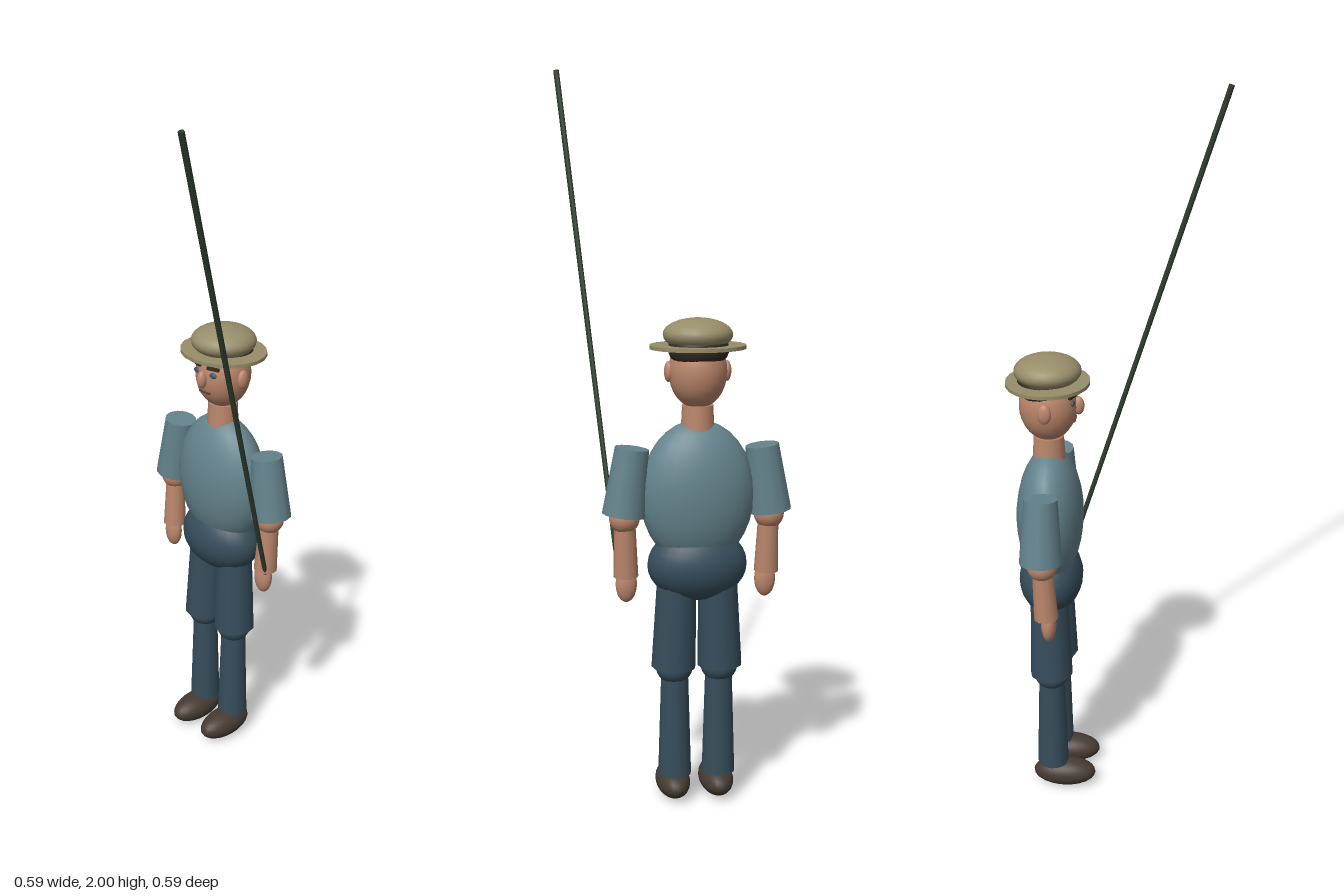
import * as THREE from 'three';

const paint = (name, color) => {
  const m = new THREE.MeshStandardMaterial({ color });
  m.name = name;
  return m;
};

export function createModel() {
  const shirt = paint('shirt teal', 0x64838c);
  const trouser = paint('trouser blue', 0x364d5b);
  const skin = paint('skin', 0xbb866b);
  const straw = paint('straw', 0x978d6a);
  const hairBrown = paint('hair brown', 0x352a22);
  const leather = paint('shoe leather', 0x463b32);
  const wood = paint('rod green', 0x2c3a2c);
  const eyeBlue = paint('eye blue', 0x3f5866);
  const lip = paint('lip', 0x6b3f34);

  const model = new THREE.Group();
  model.name = 'fisherman';
  const body = new THREE.Group();
  body.name = 'figure';
  body.position.set(-0.04, 0, -0.18);
  model.add(body);

  // Ellipsoid from centre and radii
  const ball = (parent, name, mat, pos, radii) => {
    const mesh = new THREE.Mesh(new THREE.SphereGeometry(1, 24, 16), mat);
    mesh.name = name;
    mesh.position.set(...pos);
    mesh.scale.set(...radii);
    parent.add(mesh);
    return mesh;
  };

  // Tapered cylinder running from the top point to the bottom point
  const limb = (parent, name, mat, top, bottom, rTop, rBottom, sides = 12) => {
    const a = new THREE.Vector3(...top), b = new THREE.Vector3(...bottom);
    const axis = a.clone().sub(b);
    const mesh = new THREE.Mesh(new THREE.CylinderGeometry(rTop, rBottom, axis.length(), sides), mat);
    mesh.name = name;
    mesh.position.copy(a).add(b).multiplyScalar(0.5);
    mesh.quaternion.setFromUnitVectors(new THREE.Vector3(0, 1, 0), axis.normalize());
    parent.add(mesh);
    return mesh;
  };

  // Trunk
  ball(body, 'torso', shirt, [0, 0.865, 0], [0.155, 0.2, 0.093]);
  ball(body, 'hips', trouser, [0, 0.672, 0], [0.136, 0.1, 0.09]);
  limb(body, 'neck', skin, [0, 1.105, 0], [0, 1.03, 0], 0.042, 0.046, 16);

  // Head and face
  const head = new THREE.Group();
  head.name = 'head';
  body.add(head);
  ball(head, 'skull', skin, [0, 1.195, 0], [0.078, 0.1, 0.08]);
  ball(head, 'hair', hairBrown, [0, 1.255, -0.012], [0.081, 0.056, 0.072]);
  ball(head, 'nose', skin, [0, 1.195, 0.083], [0.013, 0.026, 0.016]);
  for (const s of [-1, 1]) {
    ball(head, 'ear', skin, [s * 0.078, 1.195, 0], [0.012, 0.028, 0.019]);
    ball(head, 'eye', eyeBlue, [s * 0.031, 1.212, 0.071], [0.013, 0.008, 0.006]);
    const brow = new THREE.Mesh(new THREE.BoxGeometry(0.036, 0.008, 0.009), hairBrown);
    brow.name = 'eyebrow';
    brow.position.set(s * 0.031, 1.232, 0.071);
    brow.rotation.set(0, s * 0.4, -s * 0.06);
    head.add(brow);
  }
  const mouth = new THREE.Mesh(new THREE.BoxGeometry(0.04, 0.006, 0.009), lip);
  mouth.name = 'mouth';
  mouth.position.set(0, 1.155, 0.071);
  head.add(mouth);

  // Hat
  const brim = limb(head, 'hatBrim', straw, [0, 1.265, 0], [0, 1.255, 0], 1, 1, 20);
  brim.scale.set(0.129, 1, 0.115);
  ball(head, 'hatCrown', straw, [0, 1.292, 0], [0.093, 0.044, 0.092]);

  for (const s of [-1, 1]) {
    const side = s > 0 ? 'left' : 'right';

    // Arm
    const arm = new THREE.Group();
    arm.name = side + 'Arm';
    body.add(arm);
    limb(arm, 'sleeve', shirt, [s * 0.176, 0.993, 0], [s * 0.199, 0.813, 0], 0.046, 0.059);
    ball(arm, 'elbow', skin, [s * 0.197, 0.803, 0.003], [0.041, 0.041, 0.041]);
    limb(arm, 'forearm', skin, [s * 0.196, 0.8, 0.003], [s * 0.193, 0.642, 0.011], 0.028, 0.034);
    ball(arm, 'hand', skin, [s * 0.191, 0.618, 0.017], [0.029, 0.05, 0.021]);

    // Leg
    const leg = new THREE.Group();
    leg.name = side + 'Leg';
    body.add(leg);
    limb(leg, 'thigh', trouser, [s * 0.055, 0.66, 0], [s * 0.064, 0.385, 0.004], 0.053, 0.061);
    ball(leg, 'knee', trouser, [s * 0.062, 0.382, 0.004], [0.05, 0.045, 0.05]);
    limb(leg, 'shin', trouser, [s * 0.061, 0.375, 0.004], [s * 0.061, 0.078, 0.003], 0.037, 0.046);
    ball(leg, 'shoe', leather, [s * 0.061, 0.043, 0.037], [0.047, 0.042, 0.092]);
  }

  // Long rod held in the left hand
  limb(model, 'rod', wood, [0.285, 1.998, 0.284], [0.17, 0.64, -0.152], 0.008, 0.0065, 8);

  return model;
}
